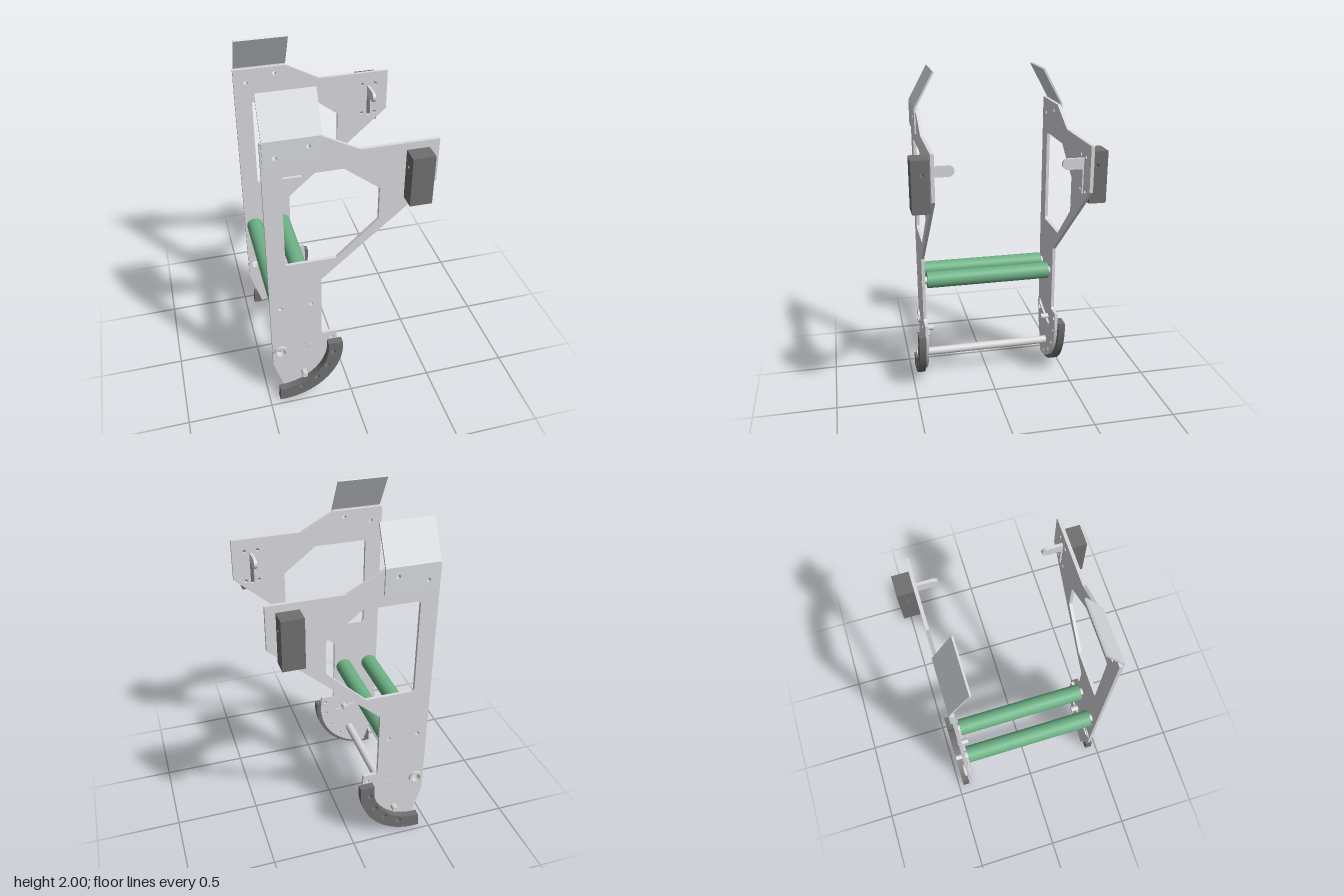
import * as THREE from 'three';

const metal = new THREE.MeshStandardMaterial({ color: 0xdbdbe0 });
metal.name = 'grey plate metal';
const bracketMetal = new THREE.MeshStandardMaterial({ color: 0xd9dde0 });
bracketMetal.name = 'cool bracket metal';
const steel = new THREE.MeshStandardMaterial({ color: 0xdadada });
steel.name = 'light steel';
const dark = new THREE.MeshStandardMaterial({ color: 0x707070 });
dark.name = 'dark grey';
const green = new THREE.MeshStandardMaterial({ color: 0x6cb285 });
green.name = 'roller green';

const PIVOT = [-0.415, 0.368];
const polar = (r, deg) => [
  PIVOT[0] + r * Math.cos(THREE.MathUtils.degToRad(deg)),
  PIVOT[1] + r * Math.sin(THREE.MathUtils.degToRad(deg)),
];
const arc = (r, from, to, n = 24) =>
  Array.from({ length: n + 1 }, (_, i) => polar(r, from + ((to - from) * i) / n));

// Closed shape with round holes, always wound counter-clockwise
function outline(points, holes = []) {
  const corners = points.map(([x, y]) => new THREE.Vector2(x, y));
  if (THREE.ShapeUtils.isClockWise(corners)) corners.reverse();
  const shape = new THREE.Shape(corners);
  for (const [x, y, r] of holes) {
    shape.holes.push(new THREE.Path().absarc(x, y, r, 0, Math.PI * 2, true));
  }
  return shape;
}

function add(parent, name, geometry, material) {
  const mesh = new THREE.Mesh(geometry, material);
  mesh.name = name;
  parent.add(mesh);
}

// Extrude a shape drawn in x and y between two distances from the middle, on side s
function slab(shape, s, near, far) {
  const g = new THREE.ExtrudeGeometry(shape, { depth: far - near, bevelEnabled: false, curveSegments: 20 });
  return g.translate(0, 0, s > 0 ? near : -far);
}

// Extrude a shape drawn in z and y along x
function alongX(points, s, x0, x1, holes = []) {
  const shape = outline(points.map(([z, y]) => [-s * z, y]), holes.map(([z, y, r]) => [-s * z, y, r]));
  const g = new THREE.ExtrudeGeometry(shape, { depth: x1 - x0, bevelEnabled: false, curveSegments: 16 });
  return g.rotateY(Math.PI / 2).translate(x0, 0, 0);
}

// Cylinder along z
function rod(x, y, r, z0, z1) {
  return new THREE.CylinderGeometry(r, r, z1 - z0, 28).rotateX(Math.PI / 2).translate(x, y, (z0 + z1) / 2);
}
const sideRod = (x, y, r, s, near, far) => rod(x, y, r, s > 0 ? near : -far, s > 0 ? far : -near);

const ARC_HOLES = [-7.5, -28, -48, -69];
const LIP_HOLES = [[-0.393, 1.702, 0.012], [-0.225, 1.744, 0.012]];

function plateShape() {
  const shape = outline([
    [-0.463, 1.787], [-0.157, 1.787], [0.042, 1.681], [0.463, 1.681], [0.463, 1.431],
    [-0.166, 0.877], [-0.166, 0.466], [-0.158, 0.458], [-0.078, 0.458],
    ...arc(0.343, 4, -86), [-0.463, 0.272],
  ], [
    ...LIP_HOLES,
    [-0.403, 0.707, 0.012], [-0.226, 0.707, 0.012],
    [...PIVOT, 0.028], [...polar(0.313, 8.5), 0.011],
    ...ARC_HOLES.map((a) => [...polar(0.31, a), 0.01]),
    [0.307, 1.606, 0.01], [0.387, 1.606, 0.01], [0.307, 1.416, 0.01], [0.387, 1.416, 0.01],
  ]);
  // Large window
  shape.holes.push(outline([
    [-0.363, 1.572], [-0.353, 1.582], [-0.043, 1.582], [0.152, 1.432],
    [0.152, 1.232], [-0.078, 1.014], [-0.353, 1.014], [-0.363, 1.024],
  ]));
  // Narrow slot for the hook
  shape.holes.push(outline([[0.337, 1.596], [0.359, 1.596], [0.359, 1.396], [0.337, 1.396]]));
  return shape;
}

function buildSide(s) {
  const side = new THREE.Group();
  side.name = s > 0 ? 'frontSide' : 'backSide';

  add(side, 'sidePlate', slab(plateShape(), s, 0.408, 0.427), metal);

  // Curved shoe with through holes
  const shoe = outline([...arc(0.368, 4.5, -94), ...arc(0.282, -94, 6)],
    ARC_HOLES.map((a) => [...polar(0.31, a), 0.017]));
  add(side, 'curvedShoe', slab(shoe, s, 0.427, 0.47), dark);

  // Bent top bracket: flat lip and inward leaning flap
  const lip = outline([[-0.455, 1.651], [-0.155, 1.651], [-0.155, 1.792], [-0.455, 1.792]], LIP_HOLES);
  add(side, 'bracketLip', slab(lip, s, 0.427, 0.437), bracketMetal);
  add(side, 'bracketFlap', alongX(
    [[0.427, 1.792], [0.437, 1.792], [0.437, 1.797], [0.325, 2], [0.315, 1.995]], s, -0.455, -0.155), bracketMetal);

  // Block with a cross hole
  add(side, 'block', alongX(
    [[0.427, 1.354], [0.522, 1.354], [0.522, 1.64], [0.427, 1.64]], s, 0.287, 0.409,
    [[0.465, 1.562, 0.011]]), dark);

  // Hook blade with rounded inner end
  const tip = Array.from({ length: 13 }, (_, i) => {
    const a = Math.PI / 2 + (Math.PI * i) / 12;
    return [0.32 + 0.03 * Math.cos(a), 1.563 + 0.03 * Math.sin(a)];
  });
  add(side, 'hook', alongX([[0.427, 1.593], ...tip, [0.427, 1.533]], s, 0.339, 0.357), metal);

  // Hollow bushing
  const ring = outline(arc(0.043, 0, 348.75, 31), [[...PIVOT, 0.027]]);
  add(side, 'bushing', slab(ring, s, 0.402, 0.439), steel);

  // Latch pin and its sloping bar
  add(side, 'latchPin', sideRod(-0.235, 0.37, 0.018, s, 0.36, 0.429), steel);
  const bar = outline([[-0.395, 0.395], [-0.18, 0.335], [-0.176, 0.35], [-0.391, 0.41]]);
  add(side, 'latchBar', slab(bar, s, 0.39, 0.403), metal);

  // Stub of the lower rod
  add(side, 'rodStub', sideRod(-0.28, 0.169, 0.017, s, 0.4, 0.468), steel);
  return side;
}

export function createModel() {
  const model = new THREE.Group();
  model.name = 'rollerFrame';
  model.add(buildSide(1), buildSide(-1));

  // Rollers on their axles
  for (const x of [-0.403, -0.226]) {
    add(model, 'roller', rod(x, 0.707, 0.051, -0.39, 0.39), green);
    for (const s of [1, -1]) add(model, 'rollerAxle', sideRod(x, 0.707, 0.024, s, 0.385, 0.409), steel);
  }

  add(model, 'lowerRod', rod(-0.28, 0.171, 0.026, -0.409, 0.409), steel);
  return model;
}
